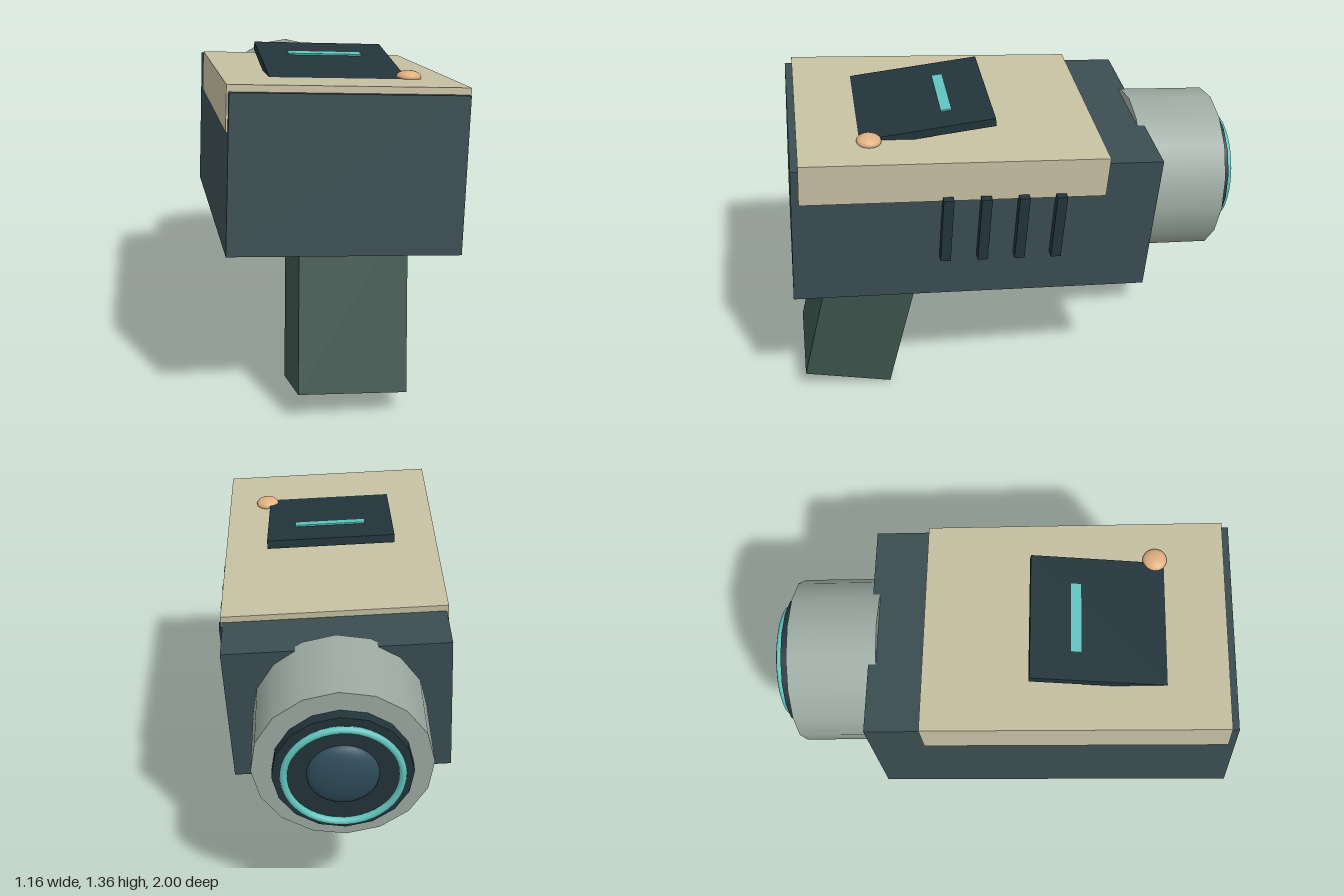
import * as THREE from 'three';

const COLORS = {
  body: 0x3a4d51, cover: 0xc6c0a2, grip: 0x3c544b, barrel: 0x9caaa2,
  dark: 0x22343a, teal: 0x62c4be, amber: 0xe0b080, lens: 0x2f4c5a,
};

function part(parent, name, geometry, color, x = 0, y = 0, z = 0) {
  const material = new THREE.MeshStandardMaterial({ color: COLORS[color] });
  const mesh = new THREE.Mesh(geometry, material);
  mesh.name = name;
  mesh.position.set(x, y, z);
  parent.add(mesh);
  return mesh;
}

const box = (w, h, d) => new THREE.BoxGeometry(w, h, d);

// Cylinder lying along z
const drum = (r, length, sides) =>
  new THREE.CylinderGeometry(r, r, length, sides).rotateX(Math.PI / 2);

export function createModel() {
  const model = new THREE.Group();
  model.name = 'handheldScanner';

  // The device is posed slightly turned, pitched and rolled about its body centre
  const device = new THREE.Group();
  device.name = 'device';
  device.position.set(0, 0.936, 0.175);
  device.rotation.set(-0.069, -0.159, -0.055);
  model.add(device);

  // Housing and the cover wrapped over its upper part
  part(device, 'body', box(0.903, 0.612, 1.482), 'body');
  part(device, 'topCover', box(0.918, 0.175, 1.228), 'cover', 0, 0.245, 0.098);

  // Raked grip
  const grip = part(device, 'grip', box(0.43, 0.72, 0.386), 'grip', 0.06, -0.555, 0.442);
  grip.rotation.x = -0.18;

  // Barrel with bezel, glowing ring and domed lens, facing the rear
  part(device, 'barrel', drum(0.35, 0.37, 16), 'barrel', 0, 0, -0.895);
  part(device, 'lensBezel', drum(0.27, 0.1, 16), 'dark', 0, 0, -1.075);
  part(device, 'lensRing', new THREE.TorusGeometry(0.225, 0.015, 8, 40), 'teal', 0, 0, -1.14);
  const lens = part(device, 'lens', new THREE.SphereGeometry(0.14, 24, 16), 'lens', 0, 0, -1.12);
  lens.scale.z = 0.35;

  // Tilted display with a light bar
  const display = new THREE.Group();
  display.name = 'display';
  display.position.set(0, 0.359, 0.193);
  display.rotation.x = 0.16;
  device.add(display);
  part(display, 'displayPanel', box(0.545, 0.035, 0.55), 'dark');
  part(display, 'displayBar', box(0.305, 0.01, 0.045), 'teal', 0, 0.019, -0.09);

  // Button beside the display
  const button = part(device, 'button', new THREE.SphereGeometry(0.05, 20, 14), 'amber', 0.285, 0.339, 0.43);
  button.scale.y = 0.5;

  // Vent ribs on one side only
  for (let i = 0; i < 4; i++) {
    part(device, 'ventRib', box(0.05, 0.29, 0.042), 'dark', 0.465, 0.03, 0.13 - i * 0.153);
  }

  return model;
}
